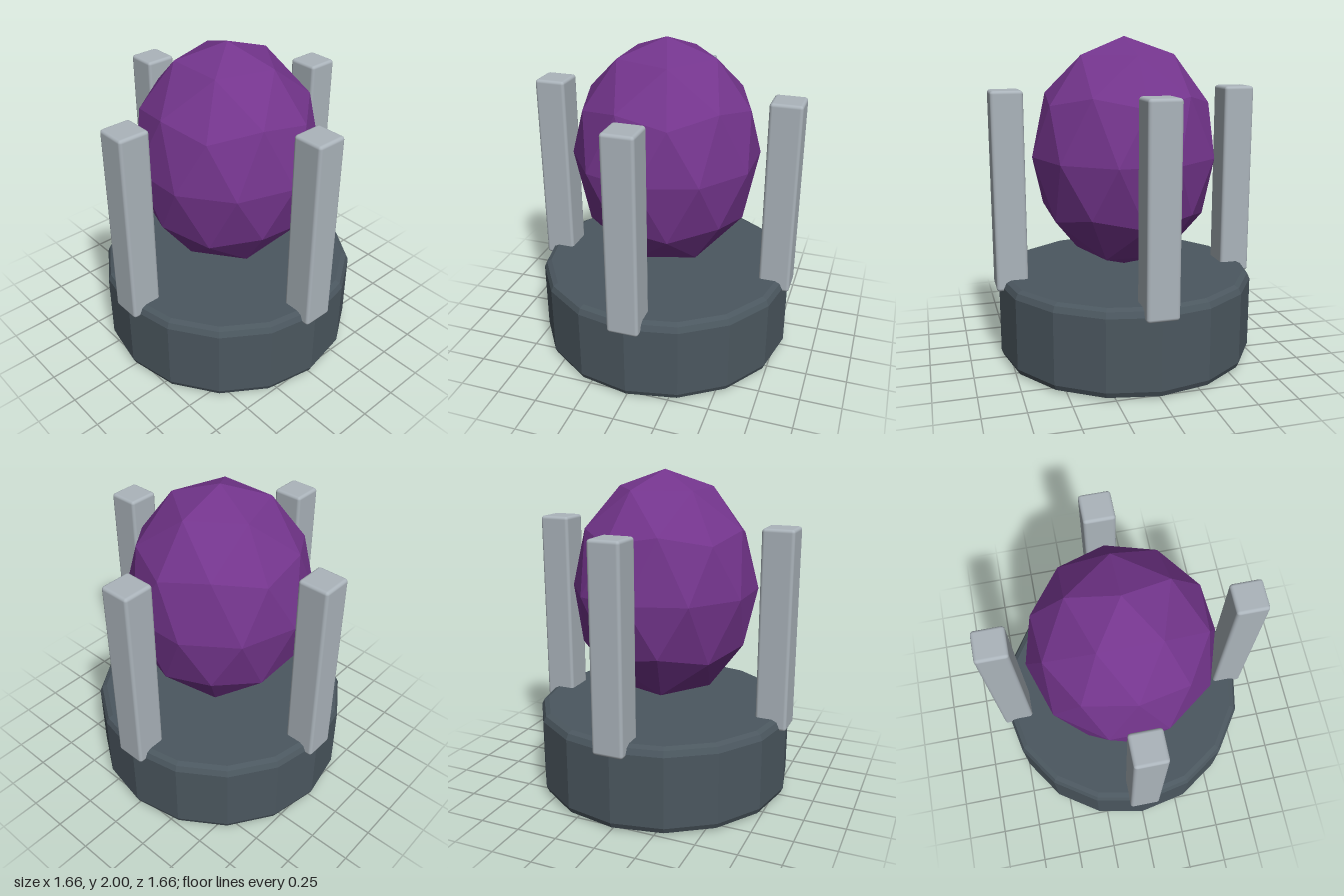
import * as THREE from 'three';
import { RoundedBoxGeometry } from 'three/addons/geometries/RoundedBoxGeometry.js';

const stone = new THREE.MeshStandardMaterial({ color: 0x4b575f, flatShading: true });
const metal = new THREE.MeshStandardMaterial({ color: 0xabb4bb });
const crystal = new THREE.MeshStandardMaterial({ color: 0x74358d, flatShading: true });

function addMesh(parent, name, geometry, material) {
  const mesh = new THREE.Mesh(geometry, material);
  mesh.name = name;
  parent.add(mesh);
  return mesh;
}

export function createModel() {
  const model = new THREE.Group();
  model.name = 'crystalPedestal';

  // Sixteen-sided base with bevelled rims
  const profile = [
    [0, 0], [0.76, 0], [0.79, 0.015], [0.806, 0.05],
    [0.806, 0.49], [0.79, 0.525], [0.76, 0.54], [0, 0.54],
  ].map(([r, y]) => new THREE.Vector2(r, y));
  addMesh(model, 'base', new THREE.LatheGeometry(profile, 16), stone);

  // Faceted egg: icosphere turned so that a vertex points up, then stretched
  const egg = new THREE.IcosahedronGeometry(1, 1);
  egg.rotateZ(-Math.atan(2 / (1 + Math.sqrt(5))));
  egg.scale(0.58, 0.72, 0.58);
  egg.computeVertexNormals();
  addMesh(model, 'crystalEgg', egg, crystal).position.y = 1.28;

  // Four bevelled posts around the rim
  const postGeometry = new RoundedBoxGeometry(0.194, 1.22, 0.194, 2, 0.02);
  ['frontPost', 'leftPost', 'backPost', 'rightPost'].forEach((name, i) => {
    const angle = (i * Math.PI) / 2;
    const post = addMesh(model, name, postGeometry, metal);
    post.position.set(0.732 * Math.sin(angle), 1.08, 0.732 * Math.cos(angle));
    post.rotation.y = angle;
  });

  return model;
}
